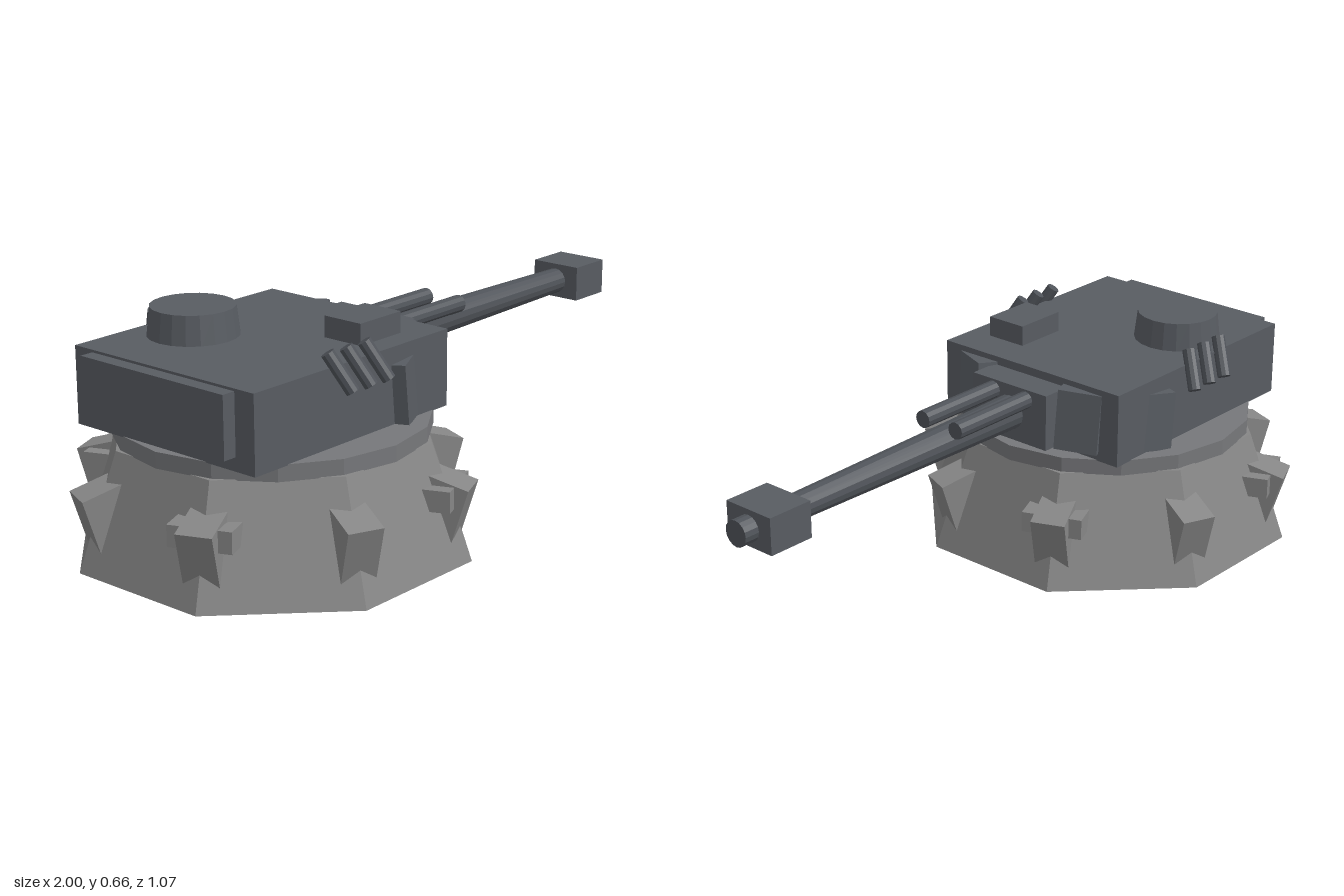
import * as THREE from 'three';

const material = (name, color) => {
  const m = new THREE.MeshStandardMaterial({ color, flatShading: true });
  m.name = name;
  return m;
};

export function createModel() {
  const concrete = material('concrete grey', 0x868686);
  const ringGrey = material('ring grey', 0x76777a);
  const armour = material('armour grey', 0x585c62);
  const gunMetal = material('gun metal', 0x4f5359);

  const model = new THREE.Group();
  model.name = 'gunTurret';

  const add = (name, geometry, mat, x, y, z, parent = model) => {
    const mesh = new THREE.Mesh(geometry, mat);
    mesh.name = name;
    mesh.position.set(x, y, z);
    parent.add(mesh);
    return mesh;
  };
  const box = (name, mat, size, pos, parent) =>
    add(name, new THREE.BoxGeometry(...size), mat, ...pos, parent);
  // Cylinder lying along x, from x0 to x1
  const tubeX = (name, r0, r1, x0, x1, y, z, sides = 12) => {
    const g = new THREE.CylinderGeometry(r1, r0, x1 - x0, sides).rotateZ(-Math.PI / 2);
    return add(name, g, gunMetal, (x0 + x1) / 2, y, z);
  };

  // Octagonal base
  const base = new THREE.Group();
  base.name = 'base';
  base.position.x = -0.463;
  model.add(base);
  const foot = new THREE.CylinderGeometry(0.445, 0.557, 0.32, 8).rotateY(Math.PI / 8);
  add('octagonBase', foot, concrete, 0, 0.16, 0, base);
  const ring = new THREE.CylinderGeometry(0.432, 0.432, 0.045, 16);
  add('turretRing', ring, ringGrey, 0, 0.34, 0, base);

  // Leaning buttress on every corner, with a crossbar on every other one
  for (let i = 0; i < 8; i++) {
    const corner = new THREE.Group();
    corner.name = 'corner';
    corner.rotation.y = Math.PI / 8 + (i * Math.PI) / 4;
    base.add(corner);
    const buttress = box('buttress', concrete, [0.12, 0.2, 0.1], [0.472, 0.134, 0], corner);
    buttress.rotation.z = -0.29;
    if (i % 2 === 0) box('crossbar', concrete, [0.1, 0.06, 0.175], [0.47, 0.19, 0], corner);
  }

  // Turret body
  box('turretBody', armour, [0.746, 0.215, 0.64], [-0.492, 0.4675, 0]);
  box('rearPlate', armour, [0.05, 0.17, 0.51], [-0.88, 0.483, 0]);
  box('mantlet', armour, [0.1, 0.165, 0.27], [-0.08, 0.468, 0]);
  box('sightBox', armour, [0.162, 0.065, 0.125], [-0.311, 0.602, 0.188]);
  const cupola = new THREE.CylinderGeometry(0.116, 0.126, 0.085, 20);
  add('cupola', cupola, armour, -0.59, 0.613, -0.162);

  const up = new THREE.Vector3(0, 1, 0);
  for (const s of [1, -1]) {
    // Angled cheek beside the mantlet
    const cheek = box('cheekPlate', armour, [0.07, 0.175, 0.125], [-0.115, 0.471, s * 0.19]);
    cheek.rotation.set(s * 0.05, s * -0.42, 0.1);

    // Angled armour plate on the side
    const side = box('sidePlate', armour, [0.12, 0.17, 0.06], [-0.285, 0.447, s * 0.303]);
    side.rotation.set(s * -0.05, s * 0.42, 0.1);

    // Three leaning smoke launchers
    for (let i = 0; i < 3; i++) {
      const x = i * 0.07;
      const low = new THREE.Vector3(-0.552 + x, 0.513, s * 0.364);
      const high = new THREE.Vector3(-0.588 + x, 0.613, s * 0.311);
      const dir = high.clone().sub(low);
      const g = new THREE.CylinderGeometry(0.019, 0.019, dir.length(), 10);
      const mid = low.add(high).multiplyScalar(0.5);
      const launcher = add('smokeLauncher', g, gunMetal, mid.x, mid.y, mid.z);
      launcher.quaternion.setFromUnitVectors(up, dir.normalize());
    }

    // Side gun above the barrel
    tubeX('sideGun', 0.025, 0.025, -0.05, 0.26, 0.52, s * 0.06);
  }

  // Main gun
  tubeX('barrel', 0.051, 0.037, -0.05, 0.84, 0.467, 0, 16);
  box('muzzleBrake', armour, [0.138, 0.104, 0.16], [0.887, 0.467, 0]);
  tubeX('muzzle', 0.037, 0.037, 0.94, 1, 0.467, 0, 16);

  return model;
}
